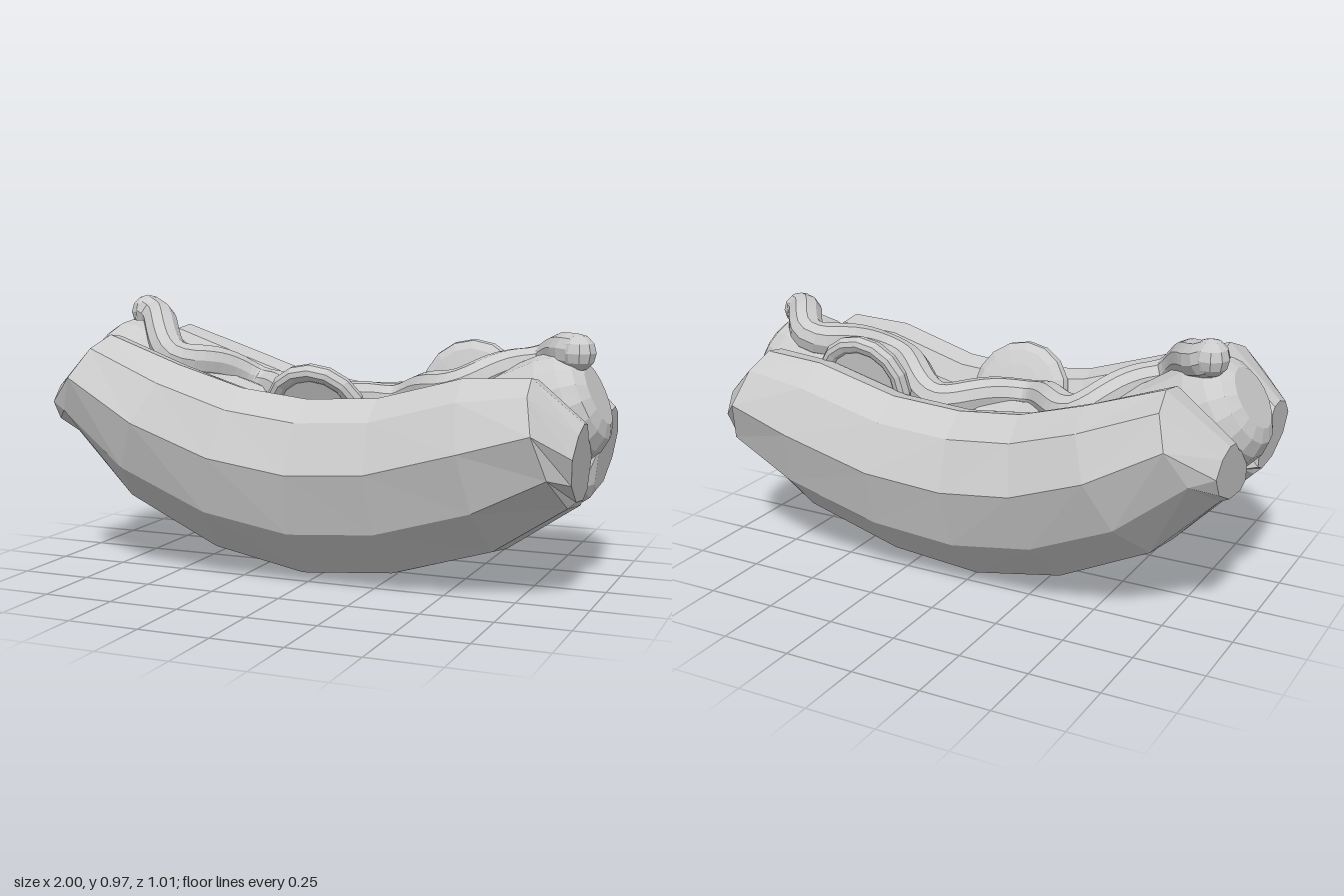
import * as THREE from 'three';

const material = new THREE.MeshStandardMaterial({ color: 0xcccccc, flatShading: true });

function mesh(name, geometry) {
  const m = new THREE.Mesh(geometry, material);
  m.name = name;
  return m;
}

// Closed skin over equal-sized rings running towards +x, with fanned ends
function loft(rings) {
  const n = rings[0].length, pos = rings.flat(2), idx = [];
  for (let i = 0; i < rings.length - 1; i++) {
    for (let j = 0; j < n; j++) {
      const k = (j + 1) % n;
      const a = i * n + j, b = a + n, c = i * n + k, d = c + n;
      idx.push(a, b, c, c, b, d);
    }
  }
  const last = rings.length - 1;
  [0, last].forEach((r) => {
    const base = pos.length / 3;
    for (let c = 0; c < 3; c++) pos.push(rings[r].reduce((s, p) => s + p[c], 0) / n);
    for (let j = 0; j < n; j++) {
      const a = r * n + j, b = r * n + (j + 1) % n;
      if (r === 0) idx.push(base, a, b); else idx.push(base, b, a);
    }
  });
  const g = new THREE.BufferGeometry();
  g.setAttribute('position', new THREE.Float32BufferAttribute(pos, 3));
  g.setIndex(idx);
  g.computeVertexNormals();
  return g;
}

// Bun half: cross-section (z, height 0..1) carried along bottom and top lines
const bunSection = [
  [0.07, 0], [0.23, 0.04], [0.39, 0.3], [0.45, 0.63], [0.38, 0.89],
  [0.28, 1], [0.2, 0.97], [0.14, 0.78], [0, 0.56], [0, 0.1],
];
// bottom x, bottom y, top x, top y, z scale, squeeze towards the middle
const bunStations = [
  [-0.95, 0.48, -0.955, 0.68, 1, 0.68],
  [-0.935, 0.47, -0.75, 0.85, 1.07, 1],
  [-0.71, 0.24, -0.47, 0.755, 1.12, 1],
  [-0.37, 0.07, -0.23, 0.68, 1.05, 1],
  [-0.03, 0.0, 0.01, 0.65, 1, 1],
  [0.31, 0.03, 0.27, 0.665, 1.02, 1],
  [0.67, 0.14, 0.57, 0.745, 1.06, 1],
  [0.92, 0.31, 0.8, 0.755, 1.03, 1],
  [0.935, 0.335, 0.965, 0.61, 0.95, 0.7],
];

function bunHalf(name, side) {
  const rings = bunStations.map(([bx, by, tx, ty, sz, squeeze]) =>
    bunSection.map(([z, v]) => [
      bx + (tx - bx) * v,
      by + (ty - by) * v,
      (0.2 + (z - 0.2) * squeeze) * sz,
    ]));
  const m = mesh(name, loft(rings));
  m.scale.z = side;
  return m;
}

// Sausage centre line, bowed in the xy plane
const spine = new THREE.CatmullRomCurve3([
  [-0.94, 0.765], [-0.6, 0.555], [-0.28, 0.44], [0, 0.41],
  [0.3, 0.44], [0.62, 0.53], [0.955, 0.68],
].map(([x, y]) => new THREE.Vector3(x, y, 0)));
const RADIUS = 0.2;

function spineFrame(t) {
  const p = spine.getPointAt(t), d = spine.getTangentAt(t);
  return { p, n: new THREE.Vector3(-d.y, d.x, 0) };
}

function sausage() {
  const profile = [[0, 0.11], [0.012, 0.155], [0.035, 0.185], [0.07, RADIUS]];
  for (let i = 1; i < 9; i++) profile.push([0.07 + 0.86 * i / 9, RADIUS]);
  profile.push([0.93, RADIUS], [0.965, 0.185], [0.988, 0.155], [1, 0.11]);
  const sides = 16;
  const rings = profile.map(([t, r]) => {
    const { p, n } = spineFrame(t);
    return Array.from({ length: sides }, (_, j) => {
      const a = j / sides * Math.PI * 2;
      const q = p.clone().addScaledVector(n, r * Math.sin(a));
      return [q.x, q.y, r * Math.cos(a)];
    });
  });
  return mesh('sausage', loft(rings));
}

// Sauce: a wavy tube lying on the upper side of the sausage
function sauce() {
  const group = new THREE.Group();
  group.name = 'sauce';
  const radius = 0.064;
  // turning points of the wave: x, z, height above the sausage surface
  const turns = [
    [-0.82, -0.095, 0.01], [-0.6, 0.105, 0.01], [-0.35, -0.1, 0.01], [-0.08, 0.075, 0.01],
    [0.2, -0.1, 0.01], [0.49, 0.075, 0.01], [0.74, -0.1, 0], [0.9, 0.05, -0.04],
  ];
  const steps = 6, points = [];
  for (let i = 0; i < (turns.length - 1) * steps + 1; i++) {
    const k = Math.min(Math.floor(i / steps), turns.length - 2);
    const f = i / steps - k, ease = (1 - Math.cos(f * Math.PI)) / 2;
    const [a, b] = [turns[k], turns[k + 1]];
    const x = a[0] + (b[0] - a[0]) * f, z = a[1] + (b[1] - a[1]) * ease;
    const lift = Math.sqrt(RADIUS * RADIUS - z * z) + a[2] + (b[2] - a[2]) * f;
    // find the place on the spine whose raised point has this x
    let lo = 0, hi = 1;
    for (let s = 0; s < 24; s++) {
      const mid = (lo + hi) / 2, frame = spineFrame(mid);
      if (frame.p.x + frame.n.x * lift < x) lo = mid; else hi = mid;
    }
    const { p, n } = spineFrame(lo);
    points.push(p.addScaledVector(n, lift).setZ(z));
  }
  const path = new THREE.CatmullRomCurve3(points);
  group.add(mesh('sauceStripe', new THREE.TubeGeometry(path, 72, radius, 10)));
  [points[0], points[points.length - 1]].forEach((p) => {
    const end = mesh('sauceEnd', new THREE.SphereGeometry(radius, 10, 6));
    end.position.copy(p);
    group.add(end);
  });
  return group;
}

// Pickle slice: thick disc, domed on the inner side and sunken on the outer side
function pickle(name, x, y, z, tilt) {
  const profile = [
    [0, -0.05], [0.1, -0.046], [0.155, -0.038], [0.185, -0.018], [0.192, 0.006],
    [0.182, 0.028], [0.165, 0.036], [0.145, 0.03], [0.135, 0.02], [0, 0.02],
  ].map(([r, h]) => new THREE.Vector2(r, h));
  const m = mesh(name, new THREE.LatheGeometry(profile, 16));
  m.position.set(x, y, z);
  m.rotation.x = tilt;
  return m;
}

export function createModel() {
  const group = new THREE.Group();
  group.name = 'hotDog';
  group.add(
    bunHalf('frontBun', 1),
    bunHalf('backBun', -1),
    sausage(),
    sauce(),
    pickle('frontPickle', 0, 0.59, 0.16, Math.PI / 2 + 0.42),
    pickle('backPickle', 0.46, 0.645, -0.175, -Math.PI / 2 - 0.15),
  );
  return group;
}
